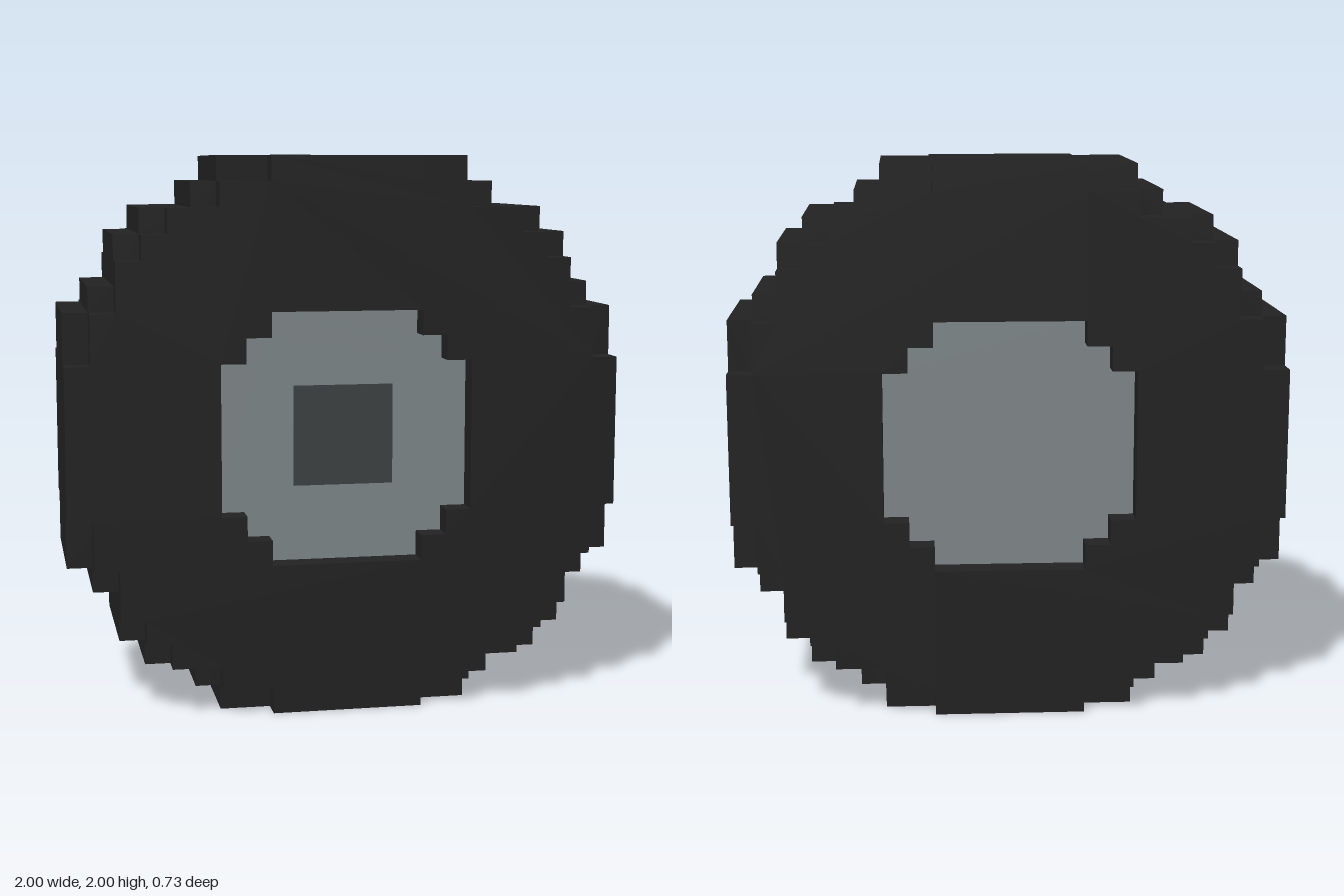
import * as THREE from 'three';

const U = 2 / 22; // block size

// Half widths in blocks for each row, from the middle outward
const TREAD = [11, 11, 11, 11, 11, 10, 9, 9, 8, 6, 5];
const SIDEWALL = [11, 11, 11, 10, 10, 9, 9, 8, 7, 5, 3];
const HUB = [5, 5, 5, 4, 3];

// Stepped round outline, counter-clockwise, mirrored from one quadrant
function outline(rows) {
  const quarter = [];
  rows.forEach((w, i) => {
    if (i === 0 || rows[i - 1] !== w) {
      if (i > 0) quarter.push([w, i]);
    }
    if (rows[i + 1] !== w) quarter.push([w, i + 1]);
  });
  const back = [...quarter].reverse();
  return [
    ...quarter,
    ...back.map(([x, y]) => [-x, y]),
    ...quarter.map(([x, y]) => [-x, -y]),
    ...back.map(([x, y]) => [x, -y]),
  ].map(([x, y]) => new THREE.Vector2(x * U, y * U));
}

// Slab of a stepped outline between two depths (in blocks)
function slab(name, rows, z0, z1, material, holeRows) {
  const shape = new THREE.Shape(outline(rows));
  if (holeRows) shape.holes.push(new THREE.Path(outline(holeRows)));
  const geometry = new THREE.ExtrudeGeometry(shape, { depth: (z1 - z0) * U, bevelEnabled: false });
  geometry.translate(0, 1, z0 * U);
  const mesh = new THREE.Mesh(geometry, material);
  mesh.name = name;
  return mesh;
}

export function createModel() {
  const rubber = new THREE.MeshStandardMaterial({ color: 0x222222 });
  rubber.name = 'black rubber';
  const metal = new THREE.MeshStandardMaterial({ color: 0x7f8789 });
  metal.name = 'grey metal';
  const darkMetal = new THREE.MeshStandardMaterial({ color: 0x3c4141 });
  darkMetal.name = 'dark metal';

  const wheel = new THREE.Group();
  wheel.name = 'wheel';

  // Tyre: wide tread between two smaller sidewalls
  wheel.add(
    slab('tread', TREAD, -3, 3, rubber, HUB),
    slab('frontSidewall', SIDEWALL, 3, 4, rubber, HUB),
    slab('backSidewall', SIDEWALL, -4, -3, rubber, HUB),
  );

  // Hub, sunk one block on both sides
  wheel.add(slab('hub', HUB, -3, 3, metal));

  // Square axle cap on the front only
  const cap = new THREE.Mesh(new THREE.BoxGeometry(4 * U, 4 * U, 0.004), darkMetal);
  cap.name = 'axleCap';
  cap.position.set(0, 1, 3 * U + 0.002);
  wheel.add(cap);

  return wheel;
}
